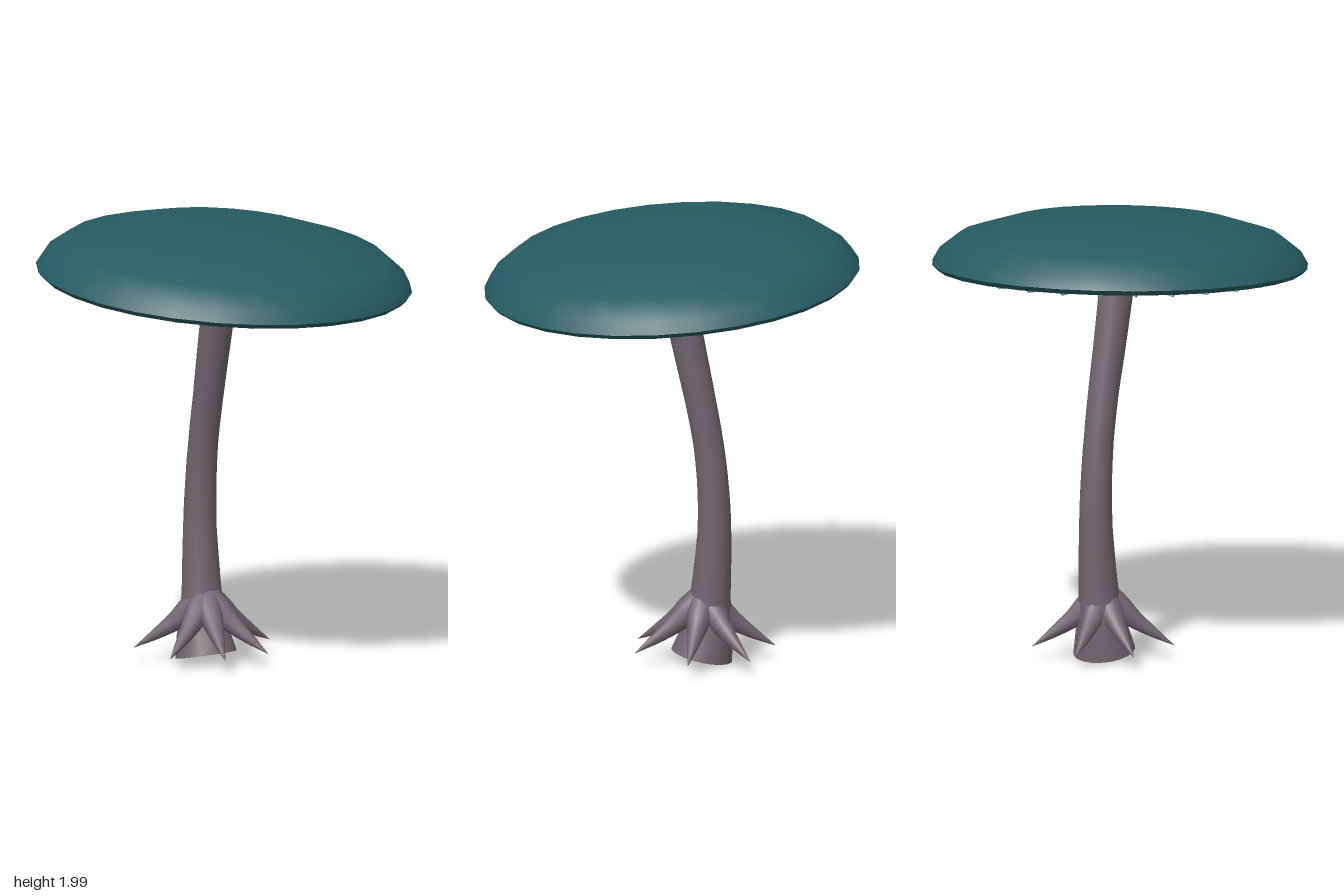
import * as THREE from 'three';

const vec = (x, y, z) => new THREE.Vector3(x, y, z);

function material(name, color) {
  const m = new THREE.MeshStandardMaterial({ color });
  m.name = name;
  return m;
}

// Smooth closed-round tube along a curve, its radius interpolated from a list
function taperedTube(points, radii, sides, rings) {
  const curve = new THREE.CatmullRomCurve3(points);
  const positions = [], index = [];
  for (let i = 0; i <= rings; i++) {
    const t = i / rings;
    const p = curve.getPoint(t);
    const axis = curve.getTangent(t);
    const u = vec(1, 0, 0).addScaledVector(axis, -axis.x);
    if (u.length() < 0.3) u.set(0, 0, 1).addScaledVector(axis, -axis.z);
    u.normalize();
    const v = u.clone().cross(axis).normalize();
    const f = t * (radii.length - 1);
    const k = Math.min(Math.floor(f), radii.length - 2);
    const r = THREE.MathUtils.lerp(radii[k], radii[k + 1], f - k);
    for (let j = 0; j < sides; j++) {
      const a = (j / sides) * Math.PI * 2;
      const q = p.clone().addScaledVector(u, r * Math.cos(a)).addScaledVector(v, r * Math.sin(a));
      positions.push(q.x, q.y, q.z);
      if (i < rings) {
        const b = i * sides + j, c = i * sides + ((j + 1) % sides);
        index.push(b, b + sides, c, c, b + sides, c + sides);
      }
    }
  }
  const g = new THREE.BufferGeometry();
  g.setAttribute('position', new THREE.Float32BufferAttribute(positions, 3));
  g.setIndex(index);
  g.computeVertexNormals();
  return { geometry: g, curve };
}

export function createModel() {
  const model = new THREE.Group();
  model.name = 'mushroom';
  const capTeal = material('capTeal', 0x265c63);
  const gillMint = material('gillMint', 0x8adbc9);
  const stemGrey = material('stemGrey', 0x70656d);

  const add = (parent, name, geometry, mat) => {
    const mesh = new THREE.Mesh(geometry, mat);
    mesh.name = name;
    parent.add(mesh);
    return mesh;
  };

  // Bent stem, flared at the foot
  const stem = taperedTube([
    vec(-0.12, 0.035, -0.055), vec(-0.145, 0.16, -0.065), vec(-0.153, 0.3, -0.075),
    vec(-0.168, 0.6, -0.086), vec(-0.163, 0.8, -0.085), vec(-0.145, 1.0, -0.076),
    vec(-0.113, 1.2, -0.06), vec(-0.077, 1.4, -0.038), vec(-0.022, 1.7, -0.008),
    vec(-0.01, 1.77, 0),
  ], [0.138, 0.112, 0.09, 0.075, 0.07, 0.067, 0.068, 0.072, 0.078, 0.08], 20, 27);
  add(model, 'stem', stem.geometry, stemGrey);

  // Flat cut closing the foot of the stem
  const foot = add(model, 'stemFoot', new THREE.CircleGeometry(0.138, 20), stemGrey);
  foot.position.copy(stem.curve.getPoint(0));
  foot.quaternion.setFromUnitVectors(vec(0, 0, 1), stem.curve.getTangent(0).negate());

  // Pointed roots spreading around the foot
  const roots = new THREE.Group();
  roots.name = 'roots';
  roots.position.set(-0.125, 0, -0.062);
  model.add(roots);
  const rootGeometry = taperedTube([
    vec(0.0, 0.29, 0), vec(0.07, 0.24, 0), vec(0.13, 0.19, 0), vec(0.22, 0.13, 0), vec(0.32, 0.07, 0),
  ], [0.07, 0.06, 0.045, 0.026, 0.001], 10, 10).geometry;
  [2, 46, 91, 147, 195, 250, 303].forEach((degrees, i) => {
    const root = add(roots, 'root' + (i + 1), rootGeometry, stemGrey);
    root.rotation.y = -THREE.MathUtils.degToRad(degrees);
  });

  // Tilted cap: dome, lower rim and underside
  const cap = new THREE.Group();
  cap.name = 'cap';
  cap.position.y = 1.763;
  cap.rotation.z = -0.08;
  model.add(cap);
  const lathe = (pts) => new THREE.LatheGeometry(pts.map(([x, y]) => new THREE.Vector2(x, y)), 28);
  add(cap, 'capDome', lathe([
    [0.836, 0], [0.805, 0.055], [0.715, 0.126], [0.5, 0.191], [0.25, 0.217], [0, 0.223],
  ]), capTeal);
  add(cap, 'capRim', lathe([[0.815, -0.022], [0.836, 0]]), capTeal);
  add(cap, 'capUnderside', lathe([[0, -0.02], [0.815, -0.022]]), capTeal);

  // Thin radial gills, deepest beside the stem
  const gills = new THREE.Group();
  gills.name = 'gills';
  cap.add(gills);
  const thickness = 0.008;
  const outline = new THREE.Shape([
    [0.04, -0.068], [0.74, -0.042], [0.78, -0.02], [0.78, -0.012], [0.04, -0.012],
  ].map(([x, y]) => new THREE.Vector2(x, y)));
  const gillGeometry = new THREE.ExtrudeGeometry(outline, { depth: thickness, bevelEnabled: false });
  gillGeometry.translate(0, 0, -thickness / 2);
  const gillCount = 28;
  for (let i = 0; i < gillCount; i++) {
    const gill = add(gills, 'gill' + (i + 1), gillGeometry, gillMint);
    gill.rotation.y = (i / gillCount) * Math.PI * 2;
  }
  return model;
}
